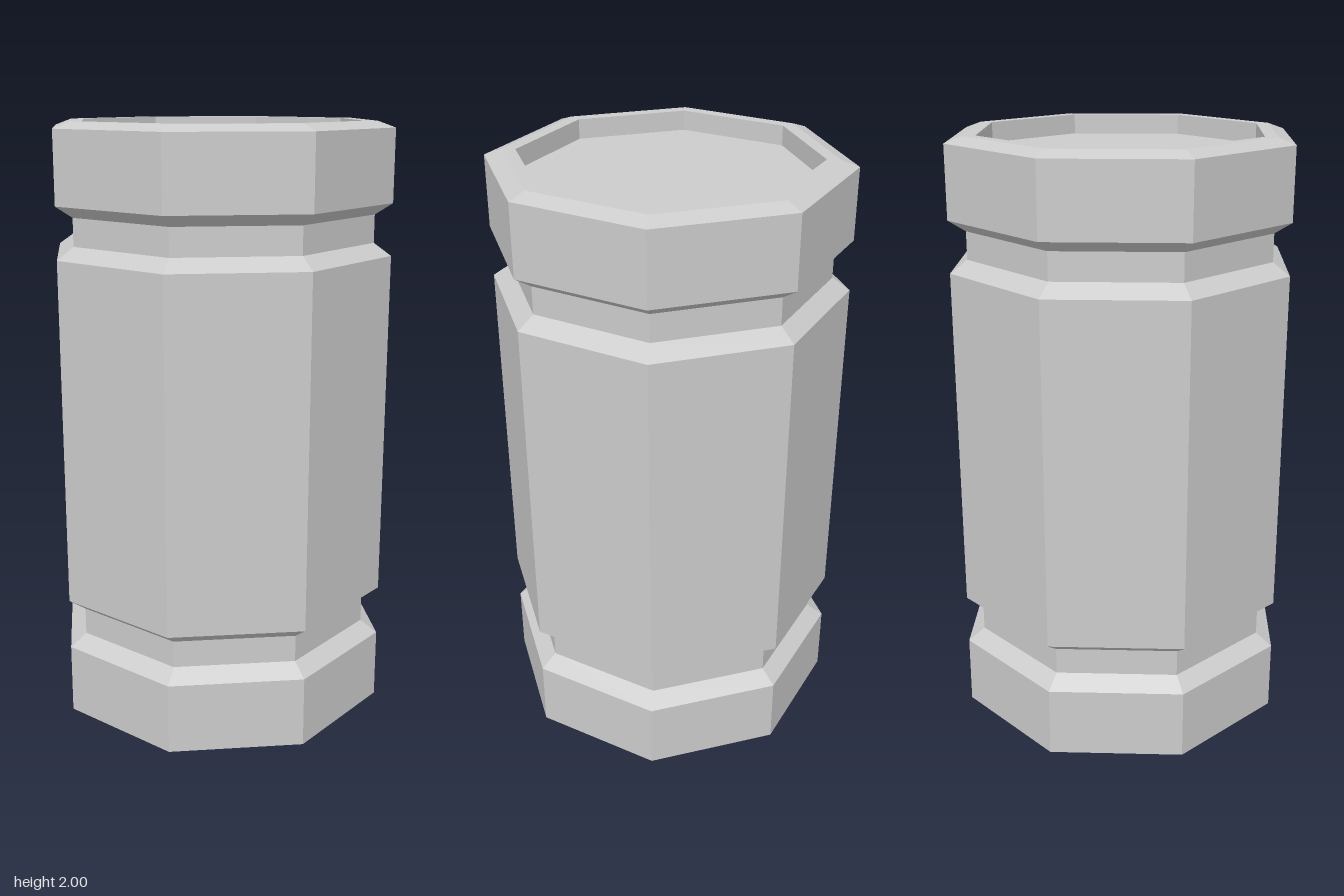
import * as THREE from 'three';

const SIDES = 8;
const OUTER = 0.575; // main radius
const NECK = 0.518;  // groove and bevelled rim radius
const DISH = 0.475;  // radius of the recessed end faces
const DEPTH = 0.065; // depth of the recesses

export function createModel() {
  const group = new THREE.Group();
  const material = new THREE.MeshStandardMaterial({ color: 0xcccccc, flatShading: true });

  // Eight-sided ring or solid from [radius, height] pairs, listed bottom to top
  function addPart(name, profile) {
    const points = profile.map(([r, y]) => new THREE.Vector2(r, y));
    const mesh = new THREE.Mesh(new THREE.LatheGeometry(points, SIDES), material);
    mesh.name = name;
    group.add(mesh);
  }

  // Bottom collar with a recessed underside
  addPart('bottomCollar', [
    [0, DEPTH], [DISH, DEPTH], [DISH, 0], [NECK, 0],
    [OUTER, 0.025], [OUTER, 0.26], [NECK, 0.3],
  ]);
  addPart('lowerGroove', [[NECK, 0.3], [NECK, 0.39]]);

  // Long middle section with bevelled ends
  addPart('body', [[NECK, 0.39], [OUTER, 0.43], [OUTER, 1.58], [NECK, 1.62]]);
  addPart('upperGroove', [[NECK, 1.62], [NECK, 1.71]]);

  // Top collar with a recessed top face
  addPart('topCollar', [
    [NECK, 1.71], [OUTER, 1.747], [OUTER, 1.98], [NECK, 2],
    [DISH, 2], [DISH, 2 - DEPTH], [0, 2 - DEPTH],
  ]);

  return group;
}
